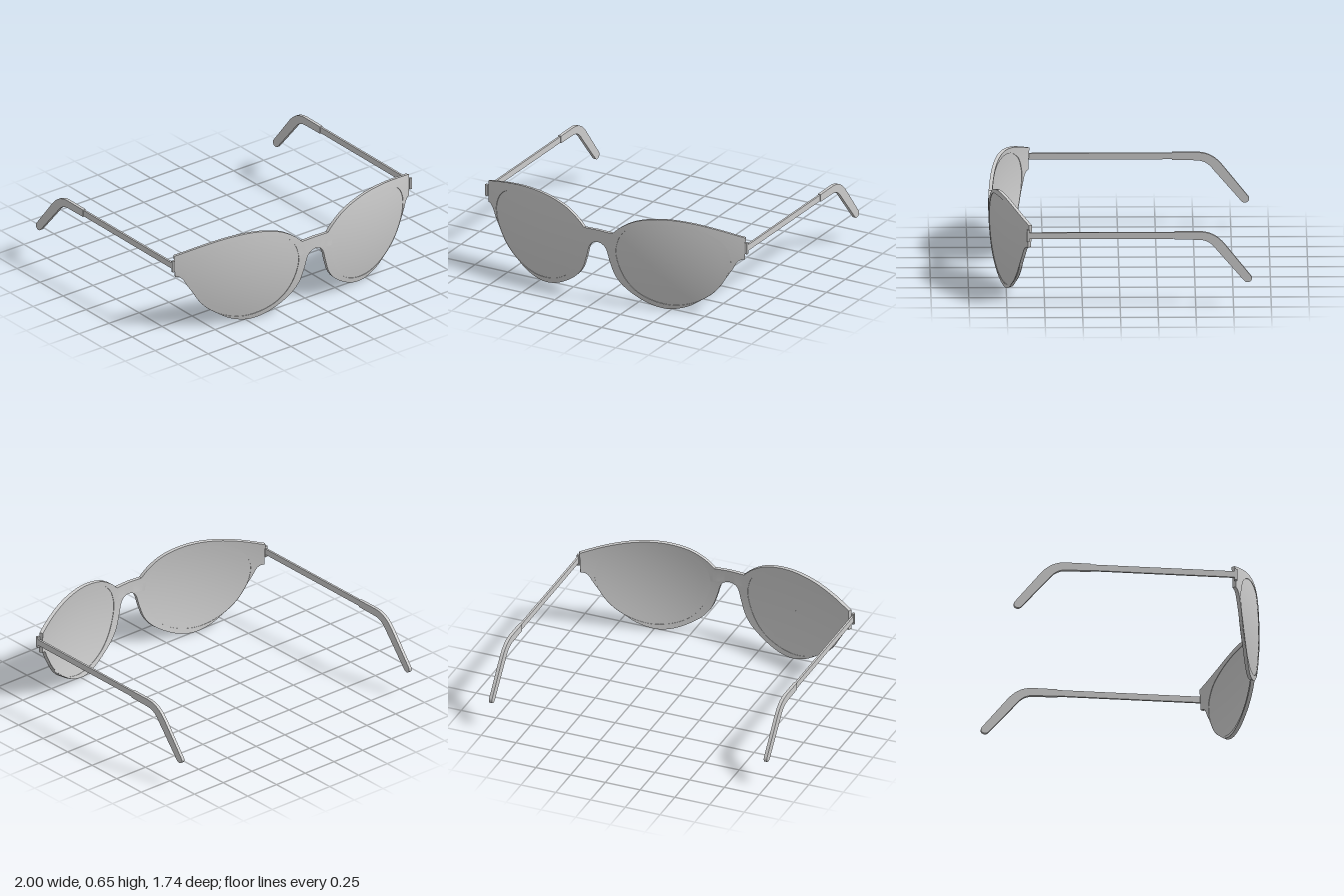
import * as THREE from 'three';
import { toCreasedNormals } from 'three/addons/utils/BufferGeometryUtils.js';

const material = new THREE.MeshStandardMaterial({ color: 0xcccccc });
const R = 2, FRONT_Z = 0.865, MID_Y = 0.42;   // sphere the front is wrapped on
const CX = 0.51, CY = 0.35;                   // lens centre

// Smooth 2D curve through points, given as a flat x, y list
function curve(flat, count, closed = false) {
  const pts = [];
  for (let i = 0; i < flat.length; i += 2) pts.push(new THREE.Vector3(flat[i], flat[i + 1], 0));
  const out = new THREE.CatmullRomCurve3(pts, closed, 'centripetal').getSpacedPoints(count);
  out.pop();
  return out;
}

// Wrap a flat point onto the sphere, at a depth behind the front surface
function wrap(x, y, depth) {
  const dy = y - MID_Y, k = (R - depth) / R;
  return [x * k, MID_Y + dy * k, FRONT_Z - R + Math.sqrt(R * R - x * x - dy * dy) * k];
}

// Closed loop of closed cross-sections; side -1 mirrors it in x
function loft(sections, side) {
  const n = sections.length, m = sections[0].length;
  const pos = [], index = [];
  for (const s of sections) for (const p of s) pos.push(side * p[0], p[1], p[2]);
  for (let i = 0; i < n; i++) for (let j = 0; j < m; j++) {
    const i2 = (i + 1) % n, j2 = (j + 1) % m;
    const a = i * m + j, b = i * m + j2, c = i2 * m + j, d = i2 * m + j2;
    if (side > 0) index.push(a, c, b, b, c, d);
    else index.push(a, b, c, b, d, c);
  }
  const g = new THREE.BufferGeometry();
  g.setAttribute('position', new THREE.Float32BufferAttribute(pos, 3));
  g.setIndex(index);
  return toCreasedNormals(g, 0.6);
}

// Section from inner point to outer point: out along the front, back along the rear
function section(inner, outer, steps, front, back) {
  const pts = [];
  const at = (k, depth) => wrap(
    THREE.MathUtils.lerp(inner.x, outer.x, k), THREE.MathUtils.lerp(inner.y, outer.y, k), depth);
  for (let k = 0; k <= steps; k++) pts.push(at(k / steps, front));
  for (let k = steps; k >= 0; k--) pts.push(at(k / steps, back));
  return pts;
}

const lensFlat = [
  0.134, 0.39, 0.166, 0.495, 0.23, 0.564, 0.31, 0.6, 0.47, 0.621, 0.605, 0.618, 0.74, 0.585,
  0.845, 0.52, 0.89, 0.43, 0.893, 0.38, 0.87, 0.286, 0.8, 0.175, 0.71, 0.1, 0.605, 0.053,
  0.497, 0.036, 0.364, 0.06, 0.257, 0.12, 0.176, 0.227];

// Outer outline of one half: bridge top, brow, end piece, lower rim, bridge underside
const outline = () => [
  ...curve([0, 0.507, 0.107, 0.503], 5),
  ...curve([0.107, 0.503, 0.155, 0.548, 0.25, 0.607, 0.358, 0.64, 0.49, 0.655, 0.65, 0.645,
    0.81, 0.612, 0.98, 0.56], 26),
  ...curve([0.98, 0.56, 0.977, 0.41], 6),
  ...curve([0.977, 0.41, 0.942, 0.4, 0.9, 0.33, 0.834, 0.227, 0.765, 0.147, 0.685, 0.083,
    0.605, 0.035, 0.49, 0.004, 0.39, 0.015, 0.283, 0.06, 0.176, 0.136, 0.123, 0.205,
    0.086, 0.307, 0.064, 0.382, 0.037, 0.413, 0, 0.422], 54),
  new THREE.Vector3(0, 0.422, 0)];

function mesh(name, geometry) {
  const m = new THREE.Mesh(geometry, material);
  m.name = name;
  return m;
}

// Side profile (u runs backwards, y up) extruded across x
function sideExtrude(shape, width) {
  const g = new THREE.ExtrudeGeometry(shape, { depth: width, bevelEnabled: false, curveSegments: 10 });
  g.rotateY(Math.PI / 2).translate(-width / 2, 0, 0);
  return toCreasedNormals(g, 0.6);
}

// Ear tip: straight sleeve, bend, then a sloping rounded end
function earTipShape() {
  const s = new THREE.Shape();
  s.moveTo(0.36, 0.468);
  s.lineTo(0.52, 0.466);
  s.bezierCurveTo(0.58, 0.464, 0.61, 0.435, 0.64, 0.395);
  s.lineTo(0.822, 0.183);
  s.bezierCurveTo(0.845, 0.16, 0.885, 0.185, 0.867, 0.215);
  s.lineTo(0.69, 0.437);
  s.bezierCurveTo(0.64, 0.495, 0.59, 0.52, 0.52, 0.52);
  s.lineTo(0.36, 0.519);
  s.closePath();
  return s;
}

export function createModel() {
  const model = new THREE.Group();
  model.name = 'eyeglasses';
  const lensEdge = curve(lensFlat, 72, true);
  const fineEdge = curve(lensFlat, 720, true);
  const center = new THREE.Vector3(CX, CY, 0);

  // Point of the lens edge in the same direction as an outline point
  const innerFor = (p) => {
    const dir = p.clone().sub(center).normalize();
    let best = fineEdge[0], bestDot = -2;
    for (const q of fineEdge) {
      const dot = q.clone().sub(center).normalize().dot(dir);
      if (dot > bestDot) { bestDot = dot; best = q; }
    }
    return best;
  };
  const rimSections = outline().map((p) => section(innerFor(p), p, 5, 0, 0.024));
  const lensSections = lensEdge.map((p) =>
    section(center.clone().lerp(p, 0.002), p, 8, 0.003, 0.021));

  for (const side of [1, -1]) {
    const label = side > 0 ? 'left' : 'right';
    model.add(mesh(label + 'FrameHalf', loft(rimSections, side)));
    model.add(mesh(label + 'Lens', loft(lensSections, side)));

    // Temple arm with its hinge and ear tip
    const temple = new THREE.Group();
    temple.name = label + 'Temple';
    temple.position.x = side * 0.989;
    const arm = mesh('arm', new THREE.BoxGeometry(0.014, 0.043, 0.97));
    arm.position.set(0, 0.494, 0.121);
    const hinge = mesh('hinge', new THREE.BoxGeometry(0.018, 0.08, 0.018));
    hinge.position.set(-0.002, 0.492, 0.609);
    temple.add(arm, hinge, mesh('earTip', sideExtrude(earTipShape(), 0.022)));
    model.add(temple);
  }
  return model;
}
